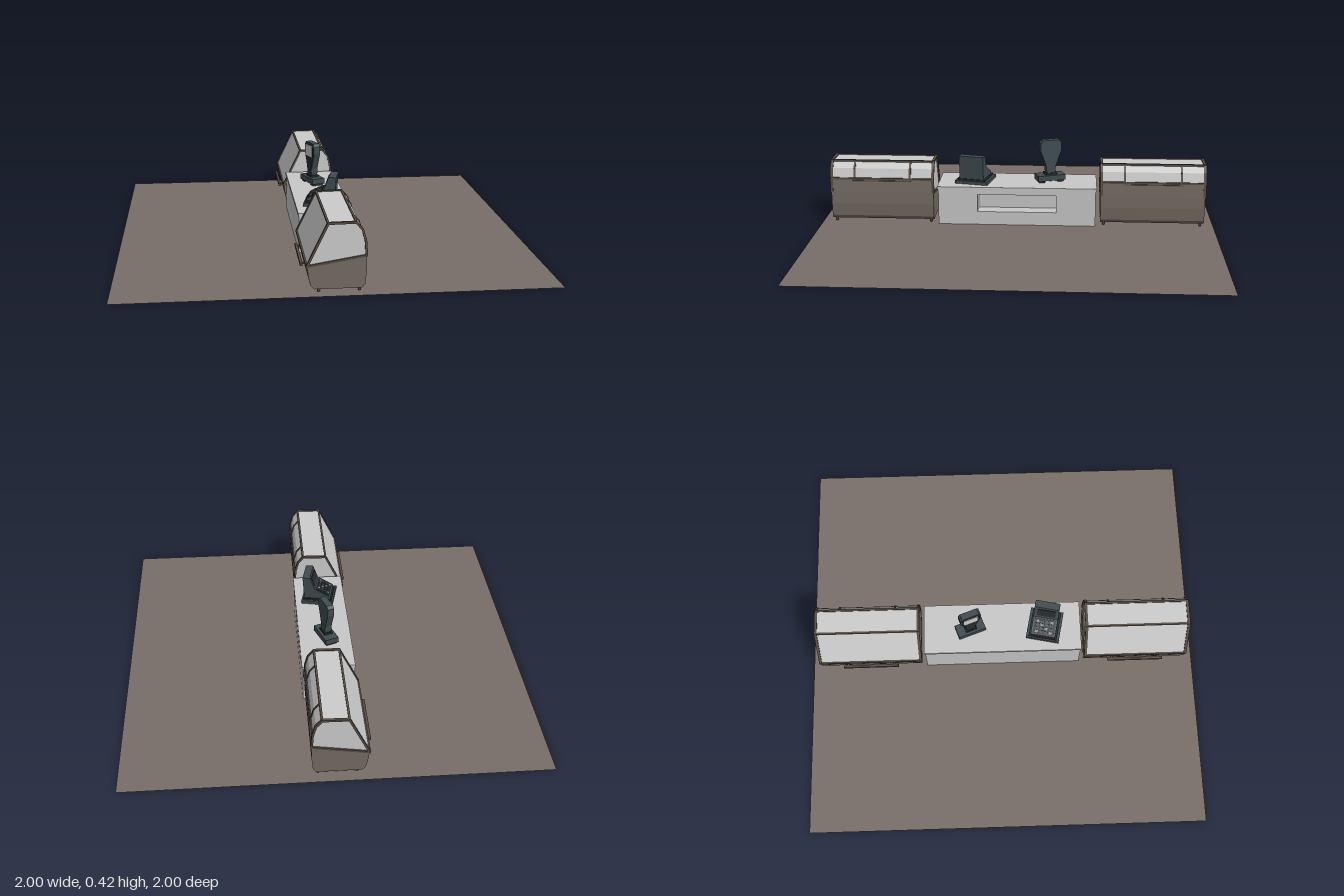
import * as THREE from 'three';

const mat = (name, color, double) => {
  const m = new THREE.MeshStandardMaterial({ color });
  m.name = name;
  if (double) m.side = THREE.DoubleSide;
  return m;
};

export function createModel() {
  const floorMat = mat('floor brown', 0x786e68, true);
  const bodyMat = mat('cabinet taupe', 0x746b61);
  const frameMat = mat('frame dark brown', 0x564c44);
  const glassMat = mat('pale glass', 0xcccccc);
  const counterMat = mat('counter grey', 0xc8c8c8);
  const slateMat = mat('slate plastic', 0x3f4c50);
  const darkMat = mat('dark plastic', 0x262d30);
  const keyMat = mat('key grey', 0x8b8f90);

  const root = new THREE.Group();
  root.name = 'checkoutCounter';

  const add = (parent, name, geo, m, x = 0, y = 0, z = 0) => {
    const mesh = new THREE.Mesh(geo, m);
    mesh.name = name;
    mesh.position.set(x, y, z);
    parent.add(mesh);
    return mesh;
  };
  const box = (parent, name, m, w, h, d, x, y, z) =>
    add(parent, name, new THREE.BoxGeometry(w, h, d), m, x, y, z);
  const group = (name, x, y, z, turn = 0) => {
    const g = new THREE.Group();
    g.name = name;
    g.position.set(x, y, z);
    g.rotation.y = turn;
    root.add(g);
    return g;
  };
  const shapeOf = pts => new THREE.Shape(pts.map(p => new THREE.Vector2(...p)));
  // x-y profile extruded along z, centred
  const prism = (pts, depth) =>
    new THREE.ExtrudeGeometry(shapeOf(pts), { depth, bevelEnabled: false }).translate(0, 0, -depth / 2);
  // bar lying in an x-y plane between two points
  const bar = (parent, name, m, a, b, z, thick, depth) => {
    const dx = b[0] - a[0], dy = b[1] - a[1];
    const mesh = box(parent, name, m, Math.hypot(dx, dy) + thick * 0.6, thick, depth,
      (a[0] + b[0]) / 2, (a[1] + b[1]) / 2, z);
    mesh.rotation.z = Math.atan2(dy, dx);
  };

  // Floor
  add(root, 'floor', new THREE.PlaneGeometry(2, 2).rotateX(-Math.PI / 2), floorMat);

  // Counter: solid rear, front with an open niche, top slab
  const counter = group('counter', 0, 0, 0);
  box(counter, 'counterBody', counterMat, 0.18, 0.184, 0.8, -0.04, 0.093, 0);
  const face = shapeOf([[-0.4, 0.001], [0.4, 0.001], [0.4, 0.185], [-0.4, 0.185]]);
  face.holes.push(new THREE.Path([[-0.2, 0.07], [-0.2, 0.16], [0.2, 0.16], [0.2, 0.07]]
    .map(p => new THREE.Vector2(...p))));
  add(counter, 'counterNicheFront',
    new THREE.ExtrudeGeometry(face, { depth: 0.075, bevelEnabled: false }).rotateY(Math.PI / 2),
    counterMat, 0.05);
  box(counter, 'counterTop', counterMat, 0.262, 0.015, 0.81, -0.002, 0.1925, 0);

  // Display cases at both ends
  const L = 0.525;
  const low = [-0.143, 0.122], rear = [-0.05, 0.314], top = [0.072, 0.316];
  const bend = [0.1, 0.283], lip = [0.114, 0.232], front = [0.119, 0.165];
  const loop = [low, rear, top, bend, lip, front];
  const bodyPts = [low, [-0.136, 0.07], [-0.128, 0.035], [-0.112, 0.017],
    [0.1, 0.017], [0.114, 0.035], [0.12, 0.1], front];
  for (const s of [-1, 1]) {
    const c = group('displayCase', 0, 0, s * 0.688);
    add(c, 'caseBody', prism(bodyPts, L), bodyMat);
    add(c, 'caseGlass', prism([low, front, lip, bend, top, rear], L - 0.008), glassMat);
    bar(c, 'frontPanel', bodyMat, front, lip, 0, 0.006, L - 0.01);
    for (const e of [-1, 1]) {
      loop.forEach((p, i) =>
        bar(c, 'endFrame', frameMat, p, loop[(i + 1) % loop.length], e * (L / 2 - 0.003), 0.01, 0.014));
      // Slim posts across the front glass
      bar(c, 'frontPost', frameMat, top, bend, e * 0.142, 0.008, 0.01);
      bar(c, 'frontPost', frameMat, bend, lip, e * 0.142, 0.008, 0.01);
      for (const x of [-0.09, 0.09])
        add(c, 'foot', new THREE.CylinderGeometry(0.009, 0.006, 0.02, 8), frameMat, x, 0.0105, e * 0.245);
      box(c, 'handleBracket', frameMat, 0.03, 0.008, 0.01, -0.145, 0.092, e * 0.12);
    }
    for (const p of [low, rear, top, lip])
      box(c, 'longRail', frameMat, 0.01, 0.01, L, p[0], p[1], 0);
    box(c, 'frontTrim', frameMat, 0.006, 0.005, 0.3, 0.119, 0.222, 0);
    box(c, 'handle', frameMat, 0.012, 0.014, 0.285, -0.157, 0.092, 0);
  }

  // Cash register, keys towards -x
  const reg = group('cashRegister', 0, 0.2, 0.22, -0.21);
  box(reg, 'registerBase', slateMat, 0.165, 0.016, 0.17, 0, 0.008, 0);
  box(reg, 'cashDrawer', darkMat, 0.15, 0.01, 0.145, 0, 0.02, 0);
  add(reg, 'registerBody', prism([[-0.068, 0.022], [0.07, 0.022], [0.078, 0.145],
    [0.04, 0.145], [0.014, 0.078], [-0.068, 0.036]], 0.127), slateMat);
  const slope = Math.atan2(0.042, 0.082);
  const pad = new THREE.Group();
  pad.name = 'keypad';
  pad.position.set(-0.027, 0.057, 0);
  pad.rotation.z = slope;
  reg.add(pad);
  box(pad, 'keyPanel', darkMat, 0.078, 0.004, 0.108, 0, 0.001, 0);
  for (let i = 0; i < 4; i++)
    for (let j = 0; j < 4; j++)
      box(pad, 'key', (i + j) % 3 ? slateMat : keyMat, 0.012, 0.007, 0.016,
        -0.027 + i * 0.018, 0.004, -0.036 + j * 0.024);
  bar(reg, 'registerScreen', darkMat, [0.02, 0.092], [0.034, 0.132], 0, 0.005, 0.095);

  // Customer display on a tapered stand, screen towards -x
  const disp = group('displayStand', -0.008, 0.2, -0.165, 0.35);
  for (const z of [-1, 1])
    box(disp, 'standFoot', darkMat, 0.055, 0.01, 0.03, 0, 0.005, z * 0.05);
  box(disp, 'standBase', slateMat, 0.07, 0.028, 0.145, 0, 0.024, 0);
  box(disp, 'standCollar', darkMat, 0.044, 0.012, 0.06, 0, 0.042, 0);
  const half = [[0.022, 0.045], [0.026, 0.085], [0.055, 0.165], [0.055, 0.205], [0.044, 0.22]];
  const outline = k => shapeOf([...half.map(([z, y]) => [z * k, 0.14 + (y - 0.14) * k]),
    ...half.map(([z, y]) => [-z * k, 0.14 + (y - 0.14) * k]).reverse()]);
  const plate = (k, depth) =>
    new THREE.ExtrudeGeometry(outline(k), { depth, bevelEnabled: false }).rotateY(Math.PI / 2);
  add(disp, 'displayPanel', plate(1, 0.034), slateMat, -0.017);
  add(disp, 'displayRim', plate(0.9, 0.004), darkMat, -0.02);
  box(disp, 'displayScreen', glassMat, 0.004, 0.06, 0.075, -0.021, 0.178, 0);

  return root;
}
